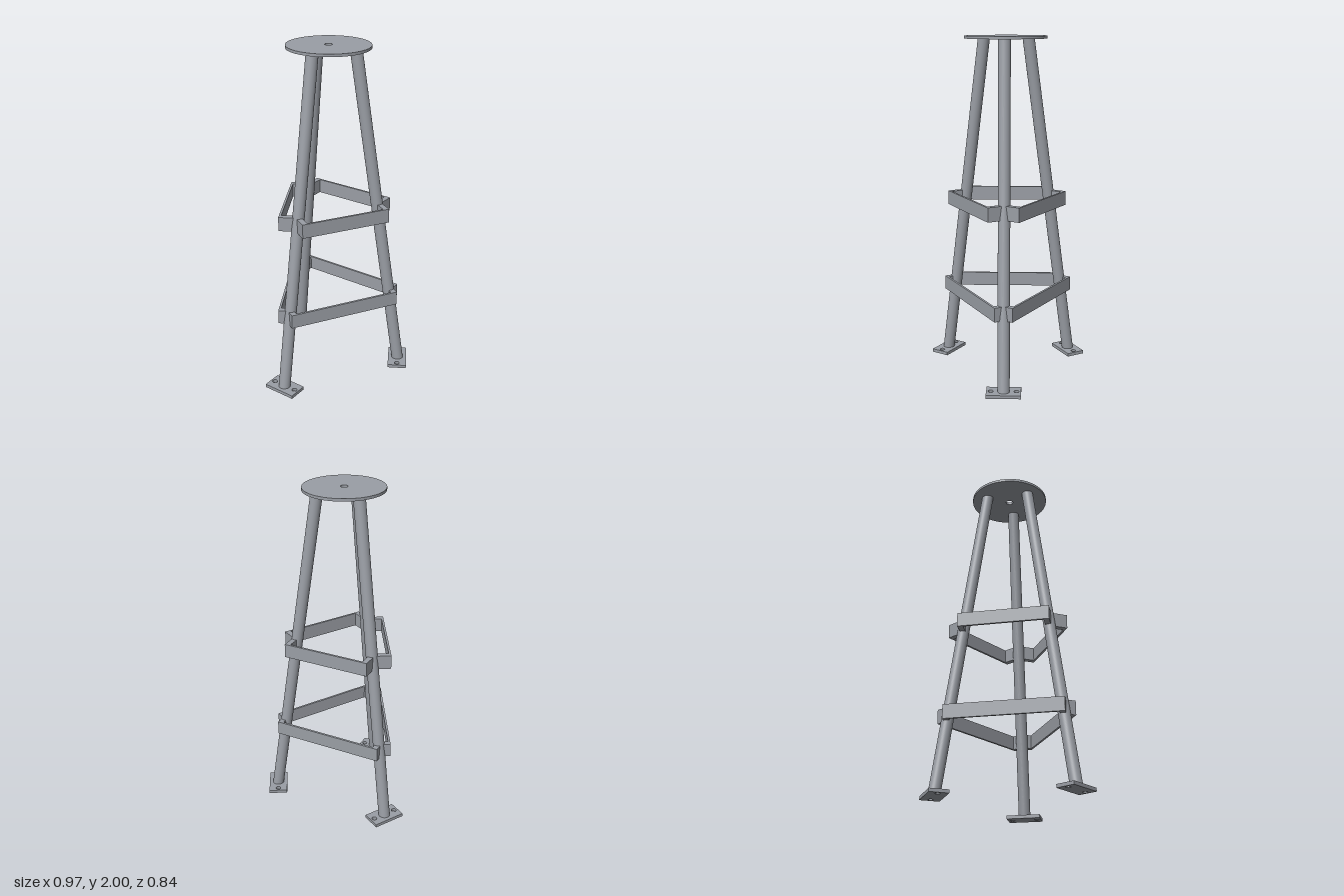
import * as THREE from 'three';

const AXIS_Z = 0.08;                    // vertical axis of the three-fold stand
const TOP = 2, TOP_T = 0.016, FOOT_T = 0.02;
const R_TOP = 0.15, R_FOOT = 0.443;     // leg distance from the axis at top and foot
const LEG_R = 0.035;

// distance of a leg's centreline from the axis at height y
const legReach = (y) => {
  const t = (y - FOOT_T) / (TOP - TOP_T - FOOT_T);
  return R_FOOT + (R_TOP - R_FOOT) * t;
};

function addHole(shape, x, y, r) {
  const hole = new THREE.Path();
  hole.absarc(x, y, r, 0, Math.PI * 2, true);
  shape.holes.push(hole);
}

// horizontal plate: shape y becomes -z, thickness rises in +y
function plate(shape, thickness) {
  const geo = new THREE.ExtrudeGeometry(shape, { depth: thickness, bevelEnabled: false, curveSegments: 48 });
  return geo.rotateX(-Math.PI / 2);
}

export function createModel() {
  const model = new THREE.Group();
  model.name = 'tripodStand';
  const steel = new THREE.MeshStandardMaterial({ color: 0x9a9ea5 });
  steel.name = 'grey steel';

  const add = (parent, name, geo, x = 0, y = 0, z = 0) => {
    const mesh = new THREE.Mesh(geo, steel);
    mesh.name = name;
    mesh.position.set(x, y, z);
    parent.add(mesh);
    return mesh;
  };

  // round top plate with centre hole
  const disc = new THREE.Shape();
  disc.absarc(0, 0, 0.238, 0, Math.PI * 2, false);
  addHole(disc, 0, 0, 0.022);
  add(model, 'topPlate', plate(disc, TOP_T), 0, TOP - TOP_T, AXIS_Z);

  // foot plate with two bolt holes, reaching outward from the axis
  const foot = new THREE.Shape();
  foot.moveTo(-0.1, 0.386);
  foot.lineTo(0.1, 0.386);
  foot.lineTo(0.1, 0.5);
  foot.lineTo(-0.1, 0.5);
  foot.closePath();
  for (const s of [-1, 1]) addHole(foot, s * 0.074, R_FOOT, 0.015);
  const footGeo = plate(foot, FOOT_T);

  // leaning leg, its ends sunk slightly into the plates
  const a = new THREE.Vector3(0, FOOT_T - 0.007, -legReach(FOOT_T - 0.007));
  const b = new THREE.Vector3(0, TOP - 0.008, -legReach(TOP - 0.008));
  const dir = b.clone().sub(a);
  const legGeo = new THREE.CylinderGeometry(LEG_R, LEG_R, dir.length(), 48);

  // bracing levels: one bar with two stand-off tabs on every side
  const braces = [
    { name: 'lower', y: 0.47, half: 0.343 },
    { name: 'upper', y: 1.032, half: 0.27 },
  ];
  const barH = 0.084, barT = 0.013, barOut = 0.256, tabW = 0.033;

  for (let i = 0; i < 3; i++) {
    const side = new THREE.Group();
    side.name = 'side' + (i + 1);
    side.position.z = AXIS_Z;
    side.rotation.y = (i * Math.PI * 2) / 3;
    model.add(side);

    add(side, 'footPlate', footGeo);
    const leg = add(side, 'leg', legGeo);
    leg.position.copy(a).add(b).multiplyScalar(0.5);
    leg.quaternion.setFromUnitVectors(new THREE.Vector3(0, 1, 0), dir.clone().normalize());

    for (const { name, y, half } of braces) {
      add(side, name + 'Bar', new THREE.BoxGeometry(half * 2, barH, barT), 0, y, barOut - barT / 2);
      // tabs run from the bar back to the leg centreline
      const inner = legReach(y) / 2, outer = barOut - barT;
      const tabGeo = new THREE.BoxGeometry(tabW, barH, outer - inner);
      for (const s of [-1, 1]) {
        add(side, name + 'Tab', tabGeo, s * (half - tabW / 2), y, (inner + outer) / 2);
      }
    }
  }
  return model;
}
